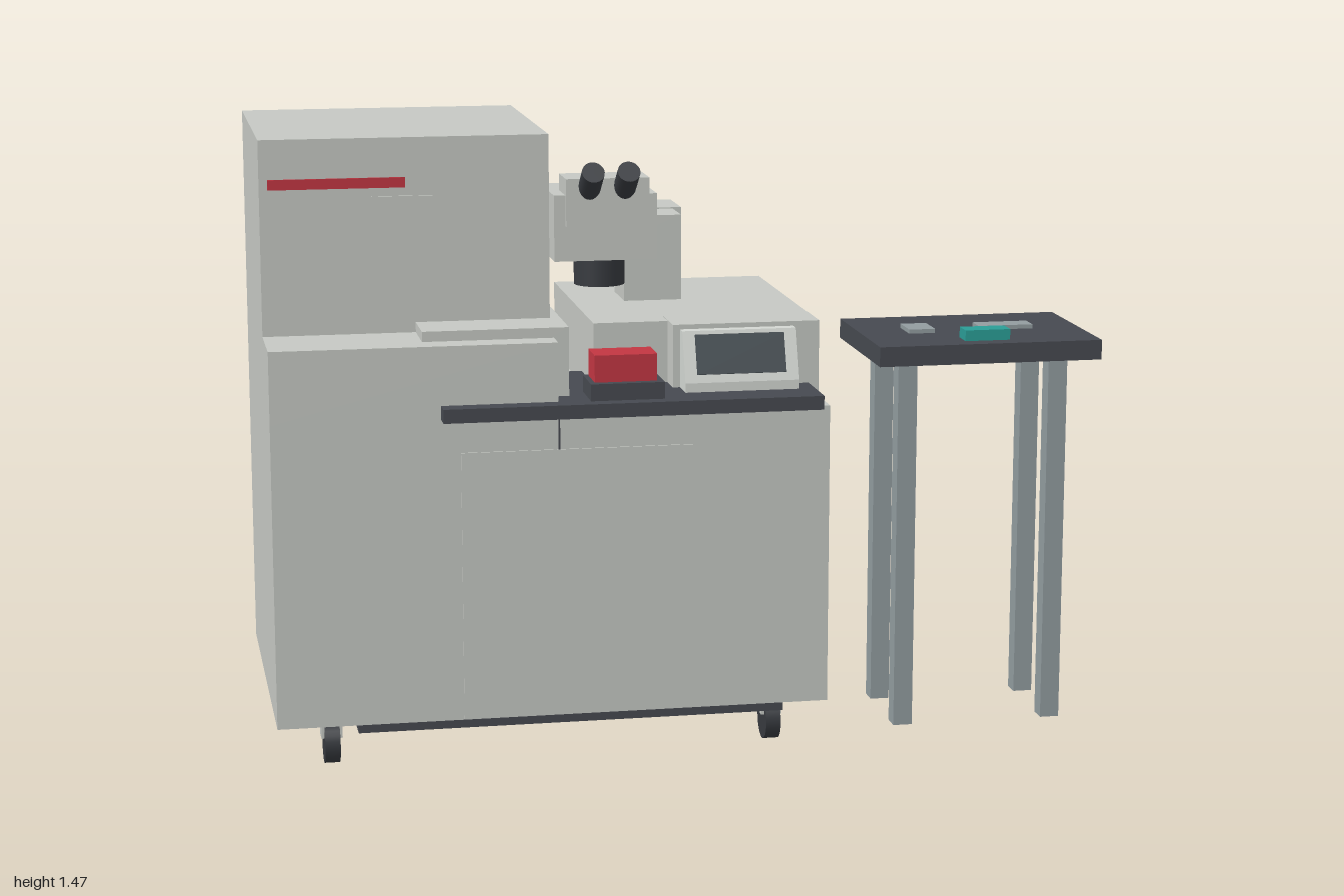
import * as THREE from 'three';

const mat = (name, color, side = THREE.FrontSide) => {
  const m = new THREE.MeshStandardMaterial({ color, side });
  m.name = name;
  return m;
};

export function createModel() {
  const root = new THREE.Group();
  root.name = 'microscopeWorkstation';
  const body = mat('body grey', 0xc5c8c3);
  const frame = mat('light frame', 0xd3d7d2);
  const dark = mat('dark worktop', 0x464950);
  const black = mat('black rubber', 0x373a3f);
  const glass = mat('screen glass', 0x485055);
  const red = mat('red', 0xc23642);
  const teal = mat('teal', 0x2a9d96);
  const steel = mat('steel', 0x929c9f);

  const add = (name, geo, material, parent = root) => {
    const m = new THREE.Mesh(geo, material);
    m.name = name;
    parent.add(m);
    return m;
  };
  // Box given by its limits on each axis
  const box = (name, material, [x0, x1], [y0, y1], [z0, z1], parent = root) => {
    const m = add(name, new THREE.BoxGeometry(x1 - x0, y1 - y0, z1 - z0), material, parent);
    m.position.set((x0 + x1) / 2, (y0 + y1) / 2, (z0 + z1) / 2);
    return m;
  };

  // Cabinets
  box('rightCabinet', body, [-1, -0.32], [0.105, 0.83], [-0.45, 0.397]);
  box('leftCabinet', body, [-0.32, 0.32], [0.105, 0.83], [-0.45, 0.397]);
  box('frontDoor', body, [-0.56, -0.01], [0.108, 0.75], [0.395, 0.401]);
  box('doorSeam', dark, [-0.331, -0.327], [0.75, 0.83], [0.394, 0.399]);
  box('kickBar', dark, [-0.81, 0.21], [0.085, 0.105], [0.3, 0.395]);

  // Upper housings
  box('sideHousing', body, [-1, -0.33], [0.83, 1.003], [-0.44, 0.397]);
  box('tower', body, [-1, -0.32], [0.83, 1.465], [-0.45, 0.2]);
  box('stageHousing', body, [-0.64, -0.295], [0.83, 1.027], [0.05, 0.333]);
  box('rearHousing', body, [-0.217, 0.32], [0.83, 1.012], [-0.415, 0.21]);
  box('screenHousing', body, [-0.037, 0.32], [0.83, 1.014], [0.15, 0.277]);
  box('towerRedStripe', red, [-0.98, -0.66], [1.348, 1.372], [0.198, 0.205]);
  box('towerHandle', body, [-0.74, -0.58], [1.315, 1.328], [0.198, 0.206]);

  // Front tray with the red sample block
  box('tray', dark, [-0.605, 0.295], [0.83, 0.863], [0.03, 0.443]);
  box('sampleBase', dark, [-0.255, -0.08], [0.863, 0.903], [0.285, 0.407]);
  box('sampleBlock', red, [-0.243, -0.095], [0.903, 0.967], [0.295, 0.387]);

  // Tilted control screen, extruded along x from its side profile
  const profile = new THREE.Shape();
  [[-0.278, 0.863], [-0.278, 1.003], [-0.305, 1.003], [-0.347, 0.885], [-0.347, 0.863]]
    .forEach(([x, y], i) => (i ? profile.lineTo(x, y) : profile.moveTo(x, y)));
  const screenGeo = new THREE.ExtrudeGeometry(profile, { depth: 0.275, bevelEnabled: false });
  screenGeo.rotateY(Math.PI / 2); // shape x becomes -z
  screenGeo.translate(-0.02, 0, 0);
  add('screenFrame', screenGeo, frame);
  const display = add('screenDisplay', new THREE.BoxGeometry(0.215, 0.096, 0.006), glass);
  display.position.set(0.117, 0.949, 0.3255);
  display.rotation.x = -Math.atan2(0.042, 0.118);

  // Microscope
  const scope = new THREE.Group();
  scope.name = 'microscope';
  root.add(scope);
  box('column', body, [-0.09, 0.053], [1.01, 1.243], [-0.235, -0.093], scope);
  box('arm', body, [-0.225, 0.032], [1.136, 1.24], [-0.142, 0.018], scope);
  box('head', body, [-0.307, -0.06], [1.16, 1.318], [-0.035, 0.193], scope);
  box('eyepieceBlock', body, [-0.28, -0.08], [1.245, 1.358], [0.095, 0.206], scope);
  const objective = add('objective', new THREE.CylinderGeometry(0.061, 0.061, 0.072, 32), black, scope);
  objective.position.set(-0.183, 1.125, 0.09);
  for (const x of [-0.223, -0.138]) {
    const eye = add('eyepiece', new THREE.CylinderGeometry(0.027, 0.027, 0.1, 24), black, scope);
    eye.position.set(x, 1.35, 0.218);
    eye.rotation.x = THREE.MathUtils.degToRad(54);
  }

  // Casters
  for (const x of [-0.87, 0.19]) for (const z of [-0.333, 0.333]) {
    const caster = new THREE.Group();
    caster.name = 'caster';
    caster.position.set(x, 0, z);
    root.add(caster);
    const wheel = add('wheel', new THREE.CylinderGeometry(0.05, 0.05, 0.036, 24), black, caster);
    wheel.rotation.z = Math.PI / 2;
    wheel.position.y = 0.05;
    box('fork', body, [-0.025, 0.025], [0.065, 0.105], [-0.025, 0.025], caster);
  }

  // Side table
  const table = new THREE.Group();
  table.name = 'sideTable';
  root.add(table);
  box('tableTop', dark, [0.45, 1], [0.91, 0.958], [-0.045, 0.358], table);
  for (const x of [0.512, 0.887]) for (const z of [0.022, 0.25])
    box('tableLeg', steel, [x, x + 0.047], [0, 0.91], [z, z + 0.047], table);
  box('smallTool', steel, [0.565, 0.63], [0.958, 0.968], [0.107, 0.192], table);
  box('longTool', steel, [0.745, 0.882], [0.958, 0.968], [0.12, 0.174], table);
  box('tealBox', teal, [0.672, 0.783], [0.958, 0.984], [0.262, 0.315], table);

  return root;
}
